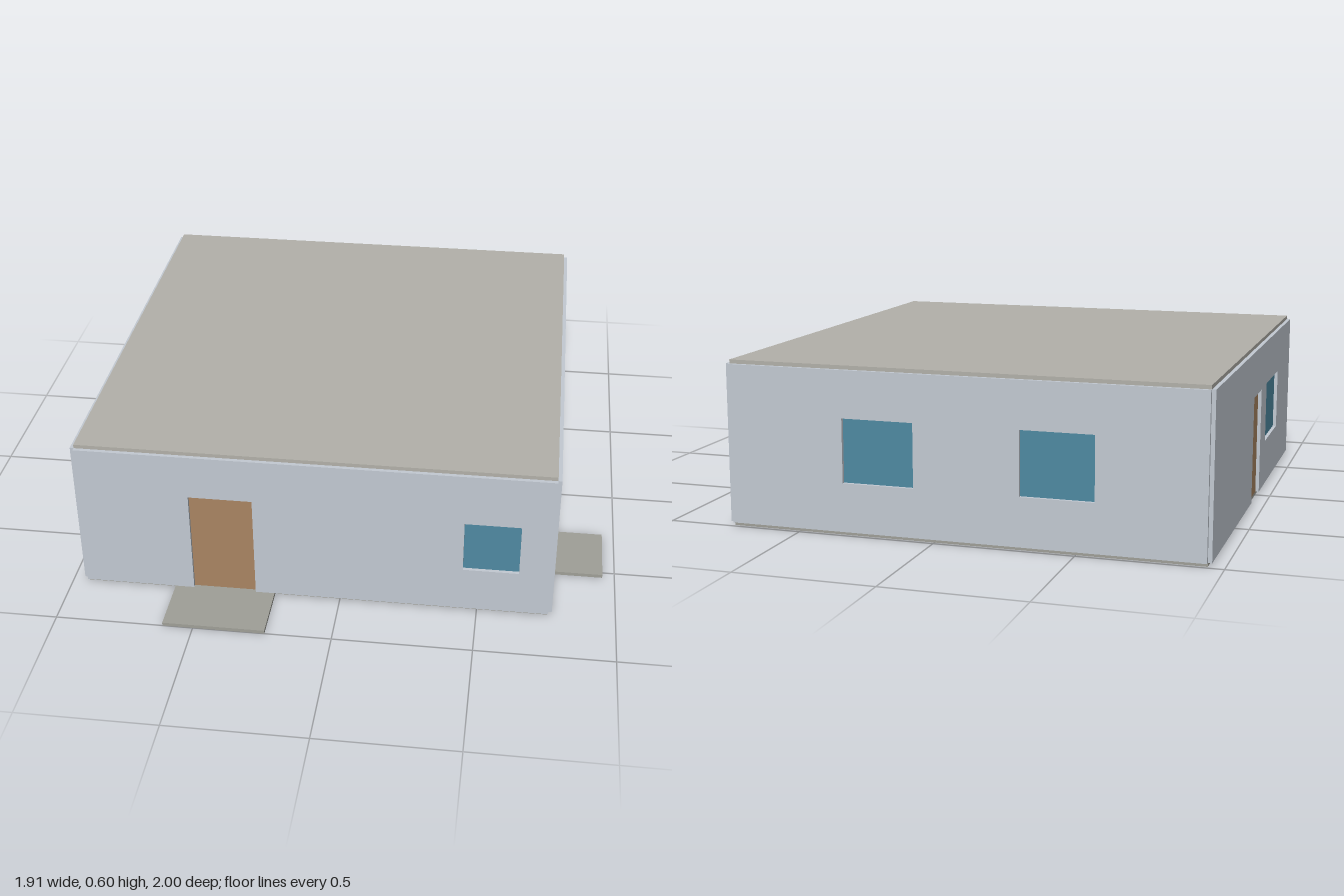
import * as THREE from 'three';

const X0 = -0.943, X1 = 0.757, Z0 = -0.986, Z1 = 0.771; // inner footprint
const BASE = 0.013, TOP = 0.583, ROOF = 0.597, T = 0.014; // heights, wall thickness

const mat = (color) => new THREE.MeshStandardMaterial({ color, flatShading: true });

function addBox(parent, name, material, [x0, x1], [y0, y1], [z0, z1]) {
  const mesh = new THREE.Mesh(new THREE.BoxGeometry(x1 - x0, y1 - y0, z1 - z0), material);
  mesh.position.set((x0 + x1) / 2, (y0 + y1) / 2, (z0 + z1) / 2);
  mesh.name = name;
  parent.add(mesh);
}

export function createModel() {
  const house = new THREE.Group();
  house.name = 'house';
  const wallMat = mat(0xc3cad3), doorMat = mat(0xa98562), glassMat = mat(0x4f8aa2);
  const roofMat = mat(0xb3b1aa), slabMat = mat(0xa0a098);

  // floor, flat roof and the two door slabs
  addBox(house, 'floor', slabMat, [X0, X1], [0, BASE], [Z0, Z1]);
  addBox(house, 'roof', roofMat, [X0, X1], [TOP, ROOF], [Z0, Z1]);
  addBox(house, 'frontDoorSlab', slabMat, [-0.61, -0.24], [0, BASE], [Z1, 1.0]);
  addBox(house, 'sideDoorSlab', slabMat, [X1, 0.955], [0, BASE], [0.275, 0.53]);

  // wall panel: u runs to the right seen from outside; door cuts a notch, windows cut holes
  function addWall(name, angle, x, z, [u0, u1], door, windows) {
    const wall = new THREE.Group();
    wall.name = name;
    const shape = new THREE.Shape();
    shape.moveTo(u0, BASE);
    if (door) {
      const [a, b, top] = door;
      shape.lineTo(a, BASE);
      shape.lineTo(a, top);
      shape.lineTo(b, top);
      shape.lineTo(b, BASE);
      addBox(wall, 'door', doorMat, [a, b], [BASE, top], [-0.004, 0.001]);
    }
    shape.lineTo(u1, BASE);
    shape.lineTo(u1, TOP);
    shape.lineTo(u0, TOP);
    shape.closePath();
    for (const [a, b, y0, y1] of windows) {
      const hole = new THREE.Path();
      hole.moveTo(a, y0);
      hole.lineTo(a, y1);
      hole.lineTo(b, y1);
      hole.lineTo(b, y0);
      hole.closePath();
      shape.holes.push(hole);
      addBox(wall, 'window', glassMat, [a, b], [y0, y1], [-0.004, 0.001]);
    }
    const panel = new THREE.Mesh(
      new THREE.ExtrudeGeometry(shape, { depth: T, bevelEnabled: false }), wallMat);
    panel.name = 'wallPanel';
    wall.add(panel);
    wall.rotation.y = angle;
    wall.position.set(x, 0, z);
    house.add(wall);
  }

  addWall('frontWall', 0, 0, Z1, [X0, X1],
    [-0.54, -0.31, 0.415], [[0.445, 0.645, 0.185, 0.385]]);
  addWall('leftWall', Math.PI / 2, X1, 0, [-Z1, -Z0],
    [-0.52, -0.295, 0.412], [[0.165, 0.285, 0.34, 0.43]]);
  addWall('backWall', Math.PI, 0, Z0, [-X1, -X0], null,
    [[-0.33, -0.07, 0.187, 0.415], [0.307, 0.567, 0.187, 0.415]]);
  addWall('rightWall', -Math.PI / 2, X0, 0, [Z0, Z1],
    [-0.18, 0.0, 0.412], [[0.127, 0.43, 0.187, 0.415]]);

  return house;
}
